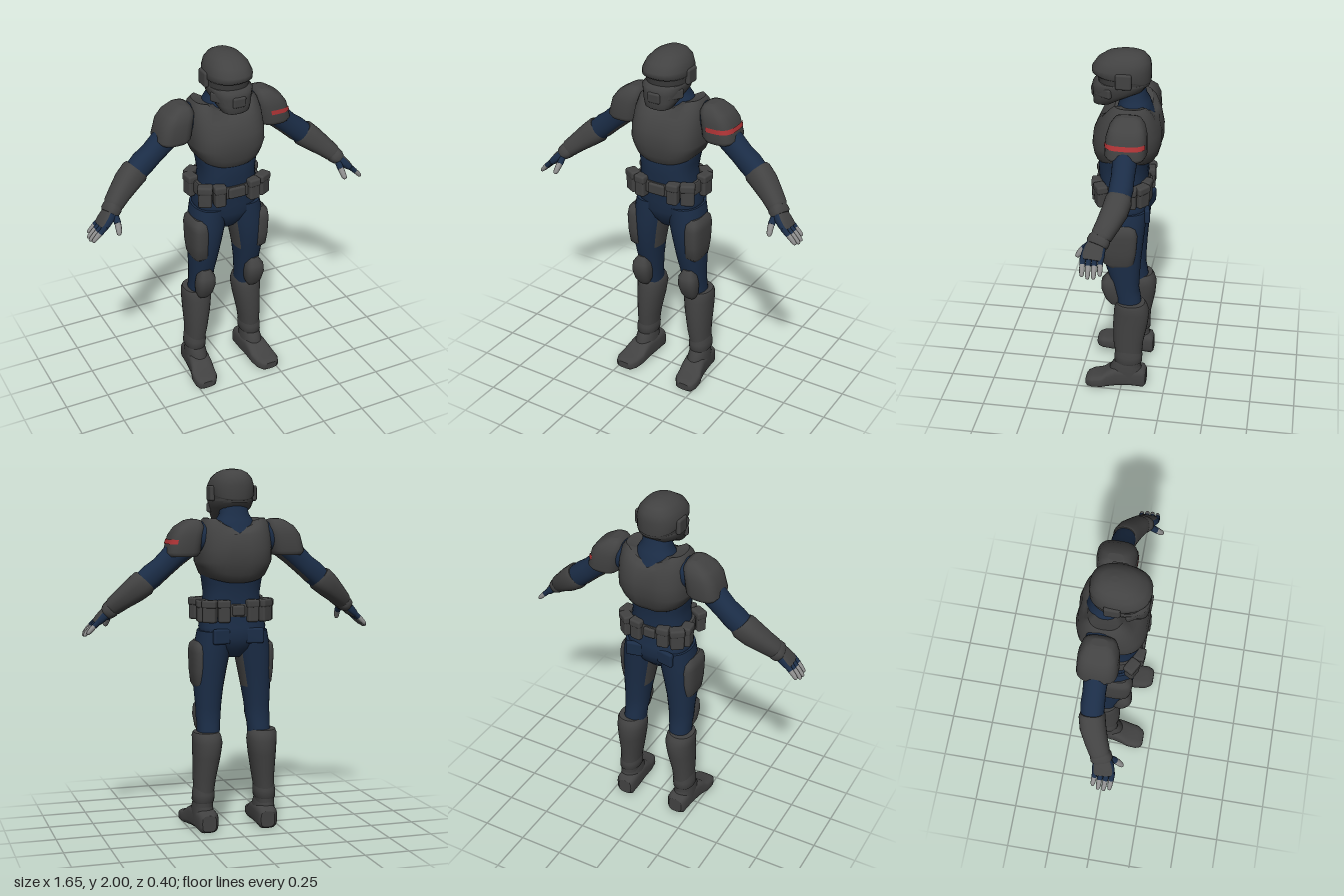
import * as THREE from 'three';
import { mergeVertices } from 'three/addons/utils/BufferGeometryUtils.js';
import { RoundedBoxGeometry } from 'three/addons/geometries/RoundedBoxGeometry.js';

const mat = (name, color) => Object.assign(new THREE.MeshStandardMaterial({ color }), { name });
const V = (x, y, z) => new THREE.Vector3(x, y, z);
const UP = V(0, 1, 0), X = V(1, 0, 0), Z = V(0, 0, 1);

// Skin over superellipse rings [x, y, z, halfU, halfV]; without dir the rings follow the path.
function loft(rings, { dir, ref = X, n = 2.2, seg = 28, pick, warp, caps = true } = {}) {
  const pos = [], lists = [[], []], N = rings.length;
  const c = rings.map(r => V(r[0], r[1], r[2]));
  const put = p => { if (warp) warp(p); pos.push(p.x, p.y, p.z); return pos.length / 3 - 1; };
  const pw = t => Math.sign(t) * Math.pow(Math.abs(t), 2 / n);
  const ringPoint = (i, j) => {
    const d = dir ? dir.clone() : c[Math.min(i + 1, N - 1)].clone().sub(c[Math.max(i - 1, 0)]).normalize();
    const u = ref.clone().addScaledVector(d, -ref.dot(d)).normalize(), v = d.clone().cross(u);
    const t = j / seg * Math.PI * 2;
    return c[i].clone().addScaledVector(u, rings[i][3] * pw(Math.cos(t))).addScaledVector(v, rings[i][4] * pw(Math.sin(t)));
  };
  for (let i = 0; i < N; i++) for (let j = 0; j < seg; j++) put(ringPoint(i, j));
  for (let i = 0; i < N - 1; i++) for (let j = 0; j < seg; j++) {
    const a = i * seg + j, b = i * seg + (j + 1) % seg;
    const mid = V(...pos.slice(a * 3, a * 3 + 3)).add(V(...pos.slice((b + seg) * 3, (b + seg) * 3 + 3))).multiplyScalar(0.5);
    const k = pick ? pick(mid, (j + 0.5) / seg * Math.PI * 2, i) : 0;
    if (k >= 0) lists[k].push(a, b, b + seg, a, b + seg, a + seg);
  }
  if (caps) for (const i of [0, N - 1]) {
    const m = put(c[i].clone()), s = m + 1;
    for (let j = 0; j < seg; j++) put(ringPoint(i, j));
    for (let j = 0; j < seg; j++) {
      const a = s + j, b = s + (j + 1) % seg;
      i ? lists[0].push(m, a, b) : lists[0].push(m, b, a);
    }
  }
  const g = new THREE.BufferGeometry();
  g.setAttribute('position', new THREE.Float32BufferAttribute(pos, 3));
  g.setIndex(lists.flat());
  g.addGroup(0, lists[0].length, 0);
  g.addGroup(lists[0].length, lists[1].length, 1);
  g.computeVertexNormals();
  return g;
}

const rbox = (w, h, d, x, y, z, ry = 0, rx = 0, r = 0.012) =>
  mergeVertices(new RoundedBoxGeometry(w, h, d, 2, r)).rotateX(rx).rotateY(ry).translate(x, y, z);

function mirrored(g) {
  const m = g.clone().scale(-1, 1, 1), ix = m.index.array;
  for (let i = 0; i < ix.length; i += 3) [ix[i], ix[i + 1]] = [ix[i + 1], ix[i]];
  m.computeVertexNormals();
  return m;
}

export function createModel() {
  const model = new THREE.Group();
  model.name = 'armouredSoldier';
  const armour = mat('armourGrey', 0x424242), suit = mat('suitBlue', 0x1b2d47);
  const red = mat('stripeRed', 0xb03436), finger = mat('fingerGrey', 0x8f8f8f);
  const visorMat = mat('visorGrey', 0x3a3a3a);
  const add = (name, g, m) => {
    const mesh = new THREE.Mesh(g, m);
    mesh.name = name;
    model.add(mesh);
  };
  const pair = (name, g, m) => { add(name + 'Left', g, m); add(name + 'Right', mirrored(g), m); };
  const mid = rows => rows.map(([y, z, a, b]) => [0, y, z, a, b]);
  const level = (rows, o = {}) => loft(rows, { dir: UP, ...o });

  // Helmet: jaw, sunken visor band, dome with brim
  add('jawGuard', level(mid([[1.705, 0.125, 0.055, 0.04], [1.715, 0.12, 0.075, 0.055], [1.75, 0.087, 0.093, 0.09],
    [1.79, 0.043, 0.108, 0.135], [1.825, 0.03, 0.117, 0.148], [1.835, 0.018, 0.112, 0.135]]), { n: 2.6 }), armour);
  add('visor', level(mid([[1.82, 0.012, 0.113, 0.136], [1.885, 0.012, 0.116, 0.14]])), visorMat);
  add('helmetDome', level(mid([[1.862, 0.022, 0.112, 0.145], [1.872, 0.025, 0.122, 0.156], [1.91, 0.025, 0.122, 0.157],
    [1.95, 0.014, 0.107, 0.14], [1.98, 0.003, 0.08, 0.105], [1.995, -0.005, 0.048, 0.068], [2, -0.005, 0.015, 0.02]]),
    { n: 2.3, warp: p => { if (p.y < 1.9) p.y += 0.012 * Math.max(0, p.z / 0.18) - 0.035 * Math.max(0, -p.z / 0.13); } }), armour);
  add('mouthVent', rbox(0.075, 0.06, 0.03, 0, 1.775, 0.17, 0, 0.08), armour);
  pair('cheekGuard', rbox(0.03, 0.055, 0.1, 0.086, 1.79, 0.11, -0.55), armour);
  pair('earPod', rbox(0.028, 0.085, 0.085, 0.12, 1.868, 0.0), armour);

  // Neck and bodysuit trunk
  add('neck', level(mid([[1.63, -0.05, 0.13, 0.11], [1.70, -0.045, 0.112, 0.09], [1.73, -0.045, 0.098, 0.08],
    [1.76, -0.04, 0.08, 0.068], [1.82, -0.03, 0.075, 0.065]])), suit);
  add('trunk', level(mid([[0.97, 0, 0.05, 0.06], [1.02, -0.005, 0.11, 0.105], [1.08, -0.005, 0.175, 0.13], [1.14, -0.003, 0.187, 0.128],
    [1.22, 0.01, 0.17, 0.128], [1.32, 0.013, 0.155, 0.134], [1.38, 0.01, 0.163, 0.138], [1.45, 0, 0.175, 0.14]]), { n: 2.5 }), suit);
  pair('hipPatch', rbox(0.1, 0.085, 0.03, 0.095, 1.095, -0.125, 0.2), suit);

  // Chest and back shell with scooped neck, curved hem and back seam
  add('chestArmour', level(mid([[1.385, 0.003, 0.165, 0.14], [1.395, 0.0, 0.178, 0.153], [1.43, -0.005, 0.195, 0.172], [1.50, -0.01, 0.205, 0.187],
    [1.57, -0.015, 0.205, 0.184], [1.65, -0.025, 0.2, 0.158], [1.71, -0.033, 0.187, 0.125], [1.735, -0.035, 0.168, 0.1]]), {
    n: 2.9, seg: 44, warp: p => {
      if (p.y < 1.45) p.y += 0.045 * (p.x / 0.19) ** 2;
      if (p.y > 1.66) p.y -= 0.055 * Math.max(0, 1 - (p.x / 0.125) ** 2);
      if (Math.abs(p.x) < 0.003 && p.z < -0.1) p.z += 0.007;
    } }), armour);

  // Belt with pouches
  add('belt', level(mid([[1.2, 0.012, 0.183, 0.138], [1.205, 0.012, 0.187, 0.142], [1.265, 0.012, 0.184, 0.142], [1.27, 0.012, 0.178, 0.138]]), { n: 2.6 }), armour);
  add('buckle', rbox(0.1, 0.065, 0.03, 0, 1.235, 0.15), armour);
  add('rearBuckle', rbox(0.07, 0.06, 0.025, 0, 1.235, -0.13), armour);
  for (const [x, z, w, ry] of [[0.1, 0.145, 0.062, 0.1], [0.172, 0.115, 0.075, 0.5], [0.185, -0.045, 0.075, 1.45],
    [0.155, -0.105, 0.075, 2.5], [0.08, -0.12, 0.065, 3]]) {
    pair('pouch', rbox(w, 0.115, 0.055, x, 1.228, z, ry), armour);
    pair('pouchFlap', rbox(w + 0.008, 0.045, 0.062, x, 1.272, z, ry), armour);
  }

  // Legs; the inner thigh carries a grey panel
  pair('leg', level([[0.15, 0.48, -0.045, 0.062, 0.07], [0.145, 0.6, -0.028, 0.063, 0.072], [0.143, 0.64, -0.018, 0.068, 0.074],
    [0.141, 0.7, -0.012, 0.07, 0.082], [0.137, 0.8, 0, 0.08, 0.1], [0.128, 0.9, 0.003, 0.09, 0.112], [0.118, 1.0, 0.003, 0.1, 0.122],
    [0.1, 1.12, -0.003, 0.094, 0.125]], { pick: (p, t, i) => i > 3 && i < 6 && Math.cos(t) < -0.75 ? 1 : 0 }), [suit, armour]);
  pair('thighPad', level([[0.18, 0.797, 0.015, 0.03, 0.06], [0.178, 0.825, 0.018, 0.047, 0.088], [0.183, 0.9, 0.018, 0.049, 0.1],
    [0.184, 1.0, 0.018, 0.05, 0.106], [0.182, 1.04, 0.018, 0.047, 0.096], [0.178, 1.062, 0.018, 0.03, 0.07]], { n: 3 }), armour);
  pair('kneePad', level([[0.155, 0.54, 0.04, 0.03, 0.028], [0.154, 0.575, 0.05, 0.047, 0.045], [0.153, 0.64, 0.066, 0.056, 0.053],
    [0.152, 0.69, 0.07, 0.051, 0.046], [0.15, 0.732, 0.06, 0.025, 0.025]], { n: 2.6 }), armour);
  pair('shinGuard', level([[0.18, 0.13, -0.04, 0.052, 0.07], [0.178, 0.2, -0.04, 0.054, 0.074], [0.171, 0.3, -0.036, 0.062, 0.086],
    [0.162, 0.42, -0.047, 0.075, 0.099], [0.158, 0.5, -0.053, 0.082, 0.1], [0.162, 0.54, -0.05, 0.08, 0.09], [0.165, 0.56, -0.048, 0.07, 0.08]]), armour);
  pair('ankleGuard', level([[0.18, 0.15, -0.038, 0.045, 0.06], [0.18, 0.17, -0.038, 0.06, 0.08], [0.178, 0.21, -0.038, 0.061, 0.08],
    [0.177, 0.25, -0.038, 0.055, 0.074]]), armour);

  // Boots
  pair('bootAnkle', level([[0.178, 0.04, -0.03, 0.058, 0.1], [0.18, 0.12, -0.022, 0.058, 0.092], [0.18, 0.18, -0.035, 0.05, 0.07]]), armour);
  pair('bootFoot', loft([[0.17, 0.055, -0.14, 0.04, 0.045], [0.172, 0.062, -0.125, 0.057, 0.062], [0.175, 0.065, -0.05, 0.06, 0.065],
    [0.182, 0.066, 0.03, 0.064, 0.066], [0.188, 0.054, 0.08, 0.068, 0.054], [0.194, 0.041, 0.11, 0.072, 0.041],
    [0.2, 0.036, 0.165, 0.069, 0.036], [0.204, 0.032, 0.195, 0.054, 0.03], [0.205, 0.03, 0.205, 0.036, 0.02]],
    { dir: Z, n: 3.4, warp: p => { if (p.y < 0.02) p.y += 0.014 * Math.exp(-(((p.z + 0.015) / 0.04) ** 2)); } }), armour);

  // Shoulder pads, with a painted band on the left one
  const padRings = [[0.297, 1.532, -0.042, 0.08, 0.095], [0.296, 1.555, -0.042, 0.096, 0.109], [0.277, 1.645, -0.042, 0.09, 0.105],
    [0.256, 1.69, -0.042, 0.078, 0.092], [0.238, 1.722, -0.042, 0.045, 0.068], [0.235, 1.731, -0.042, 0.02, 0.04]];
  pair('shoulderPad', level(padRings, { n: 3 }), armour);
  add('shoulderStripe', level([[0.287, 1.6, -0.042, 0.097, 0.111], [0.2815, 1.625, -0.042, 0.0955, 0.11]],
    { n: 3, caps: false, pick: p => (p.x < 0.25 || (p.z < -0.12 && p.x < 0.33) ? -1 : 0) }), red);

  // Arms, with a grey underside strip
  pair('arm', loft([[0.16, 1.64, -0.045, 0.08, 0.08], [0.25, 1.615, -0.045, 0.075, 0.078], [0.34, 1.535, -0.043, 0.064, 0.067],
    [0.41, 1.47, -0.043, 0.06, 0.062], [0.46, 1.43, -0.042, 0.063, 0.066], [0.53, 1.37, -0.035, 0.058, 0.06]],
    { ref: Z, pick: (p, t, i) => i < 4 && Math.sin(t) > 0.8 ? 1 : 0 }), [suit, armour]);
  pair('forearmGuard', loft([[0.495, 1.405, -0.04, 0.06, 0.064], [0.51, 1.39, -0.038, 0.068, 0.073], [0.56, 1.35, -0.025, 0.068, 0.068],
    [0.62, 1.3, 0.003, 0.06, 0.056], [0.66, 1.265, 0.025, 0.055, 0.05], [0.672, 1.255, 0.032, 0.047, 0.042]], { ref: Z, n: 2.4 }), armour);

  // Hands: wrist cuff, glove, fingers and thumb
  pair('wristCuff', loft([[0.655, 1.27, 0.024, 0.045, 0.04], [0.672, 1.25, 0.034, 0.057, 0.046], [0.69, 1.235, 0.042, 0.058, 0.042],
    [0.7, 1.227, 0.046, 0.048, 0.034]], { ref: Z, n: 2.5 }), armour);
  pair('glove', loft([[0.68, 1.243, 0.04, 0.045, 0.032], [0.71, 1.215, 0.052, 0.056, 0.029], [0.735, 1.19, 0.058, 0.06, 0.025],
    [0.755, 1.172, 0.06, 0.055, 0.018]], { ref: Z, n: 2.6, pick: (p, t) => Math.abs(Math.sin(t)) > 0.7 ? 1 : 0 }), [suit, armour]);
  const digit = (name, pts, r) => {
    const curve = new THREE.QuadraticBezierCurve3(...pts.map(p => V(...p)));
    const ring = (t, k) => [...curve.getPoint(t).toArray(), r * k, r * k];
    pair(name + 'Base', loft([0, 0.2, 0.42].map(t => ring(t, 1.06)), { ref: Z, seg: 10 }), suit);
    pair(name, loft([[0.38, 1], [0.6, 0.98], [0.85, 0.85], [0.97, 0.6], [1, 0.25]].map(([t, k]) => ring(t, k)), { ref: Z, seg: 10 }), finger);
  };
  [0.8, 0.98, 1, 0.9].forEach((len, i) => {
    const z = 0.015 + i * 0.03, e = 0.072 * len;
    digit('finger' + (i + 1), [[0.738, 1.188, z + 0.002], [0.742 + e * 0.6, 1.182 - e * 0.5, z], [0.75 + e, 1.175 - e, z - 0.004]], 0.014);
  });
  digit('thumb', [[0.675, 1.225, 0.075], [0.672, 1.19, 0.125], [0.685, 1.145, 0.15]], 0.017);
  return model;
}
